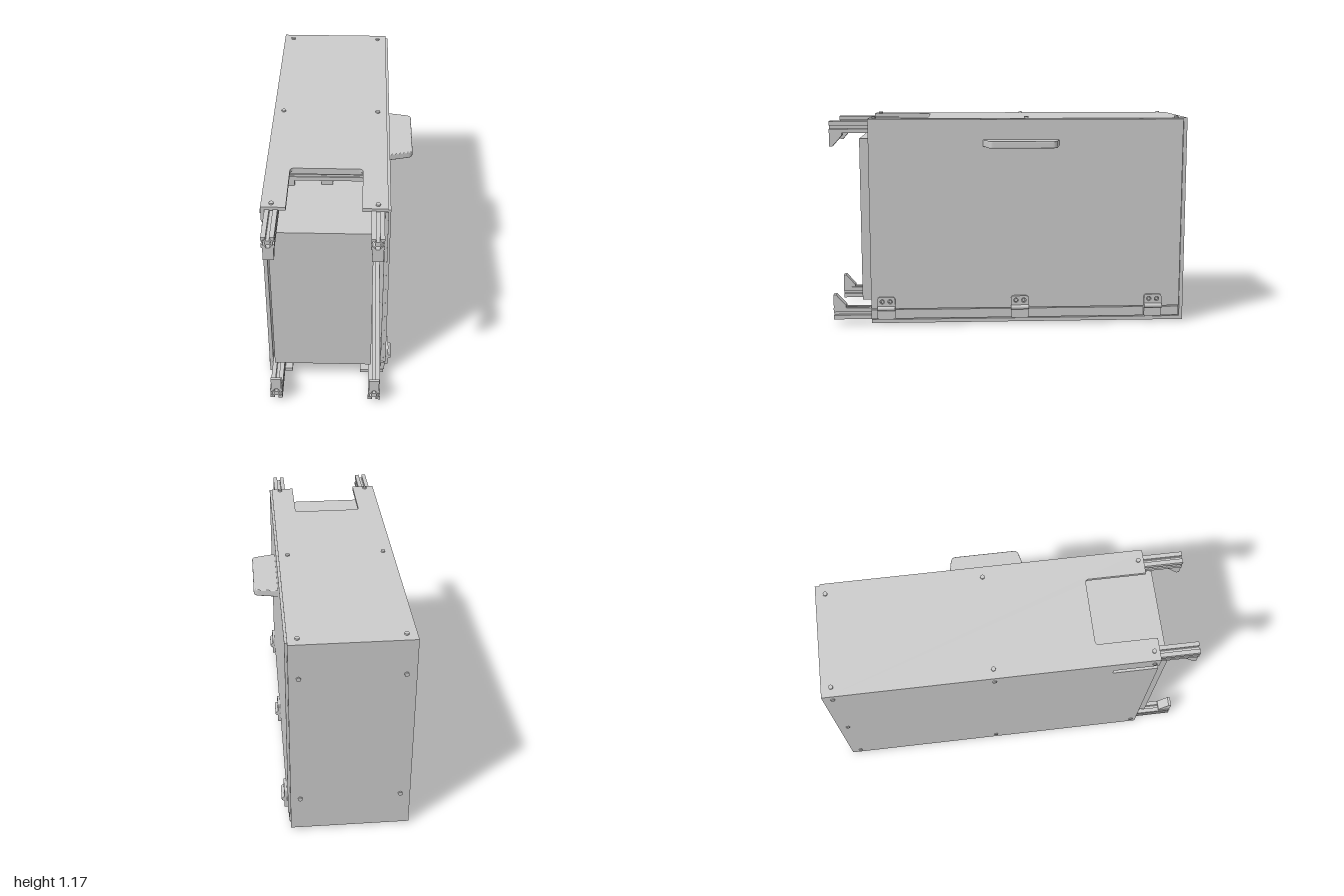
import * as THREE from 'three';

export function createModel() {
  const root = new THREE.Group();
  const mat = new THREE.MeshStandardMaterial({ color: 0xcccccc });

  const add = (name, geo, x = 0, y = 0, z = 0) => {
    const m = new THREE.Mesh(geo, mat);
    m.name = name;
    m.position.set(x, y, z);
    root.add(m);
    return m;
  };
  // box from its lower and upper limits
  const box = (name, x0, x1, y0, y1, z0, z1) =>
    add(name, new THREE.BoxGeometry(x1 - x0, y1 - y0, z1 - z0),
      (x0 + x1) / 2, (y0 + y1) / 2, (z0 + z1) / 2);
  const poly = (pts) => new THREE.Shape(pts.map(([a, b]) => new THREE.Vector2(a, b)));
  const extrude = (shape, depth) =>
    new THREE.ExtrudeGeometry(shape, { depth, bevelEnabled: false, curveSegments: 6 });

  // slotted square rail profile: one quarter turned four times
  const S = 0.0325, pts = [];
  const quarter = [[S, -S], [S, -0.009], [0.024, -0.009], [0.024, -0.018], [0.013, -0.008],
    [0.013, 0.008], [0.024, 0.018], [0.024, 0.009], [S, 0.009]];
  for (let i = 0; i < 4; i++) {
    const c = [1, 0, -1, 0][i], s = [0, 1, 0, -1][i];
    for (const [x, y] of quarter) pts.push([x * c - y * s, x * s + y * c]);
  }
  const profile = poly(pts);
  const rail = (name, axis, length, x, y, z) => {
    const g = extrude(profile, length).translate(0, 0, -length / 2);
    if (axis === 'x') g.rotateY(Math.PI / 2);
    if (axis === 'y') g.rotateX(Math.PI / 2);
    return add(name, g, x, y, z);
  };

  const railX = [-0.3325, 0.1925], railY = [0.0625, 1.1175];

  // frame: long rails, cross rails and posts
  for (const y of railY) {
    for (const x of railX) rail('longRail', 'z', 1.965, x, y, 0.0175);
    for (const z of [-0.935, -0.09, 0.42]) rail('crossRail', 'x', 0.46, -0.07, y, z);
  }
  for (const x of railX)
    for (const z of [-0.935, -0.09]) rail('post', 'y', 0.99, x, 0.59, z);

  // wedge brackets on the rail ends
  const wedge = poly([[1.0, 0], [0.93, 0], [0.93, -0.013], [0.985, -0.075], [1.0, -0.075]]);
  for (const x of railX) {
    for (const top of [true, false]) {
      const g = extrude(wedge, 0.054).rotateY(-Math.PI / 2).translate(0.027, 0, 0);
      if (!top) g.rotateZ(Math.PI);
      add('railEndBracket', g, x, top ? 1.085 : 0.095, 0);
    }
  }
  // small corner blocks and a catch under the cross rails
  for (const y of [0.095, 1.05]) box('cornerBlock', -0.3, -0.24, y, y + 0.035, 0.39, 0.45);
  box('catch', -0.1, -0.04, 1.052, 1.085, 0.41, 0.44);

  // top and bottom panels with a rounded notch at the front
  const plate = new THREE.Shape();
  plate.moveTo(-0.385, 0.97);
  plate.lineTo(-0.385, -0.785);
  plate.lineTo(-0.26, -0.785);
  plate.lineTo(-0.26, -0.475);
  plate.quadraticCurveTo(-0.26, -0.455, -0.24, -0.455);
  plate.lineTo(0.095, -0.455);
  plate.quadraticCurveTo(0.115, -0.455, 0.115, -0.475);
  plate.lineTo(0.115, -0.785);
  plate.lineTo(0.243, -0.785);
  plate.lineTo(0.243, 0.97);
  for (const [name, y] of [['bottomPanel', 0.01], ['topPanel', 1.145]])
    add(name, extrude(plate, 0.02).rotateX(-Math.PI / 2), 0, y, 0);

  // back panel, and side panel with a slot open to the front
  box('backPanel', -0.385, 0.243, 0.01, 1.165, -0.99, -0.97);
  const side = poly([[-0.97, 0.03], [0.785, 0.03], [0.785, 1.035], [0.54, 1.035],
    [0.54, 1.075], [0.785, 1.075], [0.785, 1.145], [-0.97, 1.145]]);
  add('sidePanel', extrude(side, 0.02).rotateY(-Math.PI / 2), -0.365, 0, 0);

  // hinged door and the fixed strip below it
  box('door', 0.228, 0.243, 0.095, 1.14, -0.96, 0.78);
  box('doorFace', 0.243, 0.256, 0.095, 1.16, -0.965, 0.785);
  box('hingeStrip', 0.228, 0.25, 0.037, 0.088, -0.965, 0.785);

  // inner cabinet
  box('innerBox', -0.35, 0.174, 0.13, 1.05, -0.04, 0.84);

  // handle: tapered grip with softened edges
  const grip = new THREE.Shape();
  grip.moveTo(0.25, -0.15);
  grip.lineTo(0.36, -0.122);
  grip.quadraticCurveTo(0.38, -0.117, 0.38, -0.1);
  grip.lineTo(0.38, 0.225);
  grip.quadraticCurveTo(0.38, 0.242, 0.36, 0.247);
  grip.lineTo(0.25, 0.268);
  const gripGeo = new THREE.ExtrudeGeometry(grip, {
    depth: 0.028, bevelThickness: 0.005, bevelSize: 0.005, bevelSegments: 3, curveSegments: 6,
  });
  add('handle', gripGeo.rotateX(-Math.PI / 2), 0, 1.015, 0);

  // hinges
  const leaf = (w, h, r) => {
    const s = new THREE.Shape();
    s.moveTo(-w, 0);
    s.lineTo(w, 0);
    s.lineTo(w, h - r);
    s.quadraticCurveTo(w, h, w - r, h);
    s.lineTo(r - w, h);
    s.quadraticCurveTo(-w, h, -w, h - r);
    return s;
  };
  for (const z of [0.7, -0.053, -0.812]) {
    const upper = leaf(0.05, 0.063, 0.018);
    for (const dz of [-0.022, 0.022])
      upper.holes.push(new THREE.Path().absarc(dz, 0.037, 0.013, 0, Math.PI * 2, true));
    add('hingeUpperLeaf', extrude(upper, 0.014).rotateY(-Math.PI / 2), 0.27, 0.102, z);
    const lower = extrude(leaf(0.05, 0.06, 0.012), 0.022).rotateY(-Math.PI / 2).rotateX(Math.PI);
    add('hingeLowerLeaf', lower, 0.27, 0.098, z);
    add('hingeKnuckle', new THREE.CylinderGeometry(0.013, 0.013, 0.1, 16).rotateX(Math.PI / 2),
      0.272, 0.1, z);
    for (const dz of [-0.022, 0.022])
      add('hingeScrew', new THREE.CylinderGeometry(0.009, 0.009, 0.01, 12).rotateZ(Math.PI / 2),
        0.261, 0.139, z + dz);
  }

  // button-head screws, each along its panel's normal
  const screw = (axis, x, y, z) => {
    const g = new THREE.CylinderGeometry(0.012, 0.012, 0.016, 12);
    if (axis === 'x') g.rotateZ(Math.PI / 2);
    if (axis === 'z') g.rotateX(Math.PI / 2);
    add('screw', g, x, y, z);
  };
  for (const z of [0.755, -0.092, -0.937]) {
    for (const x of railX) {
      screw('y', x, 1.165, z);
      screw('y', x, 0.01, z);
    }
    for (const y of railY) screw('x', -0.383, y, z);
  }
  screw('x', -0.383, 0.587, -0.937);
  for (const x of railX)
    for (const y of [0.21, 0.97]) screw('z', x, y, -0.99);

  return root;
}
